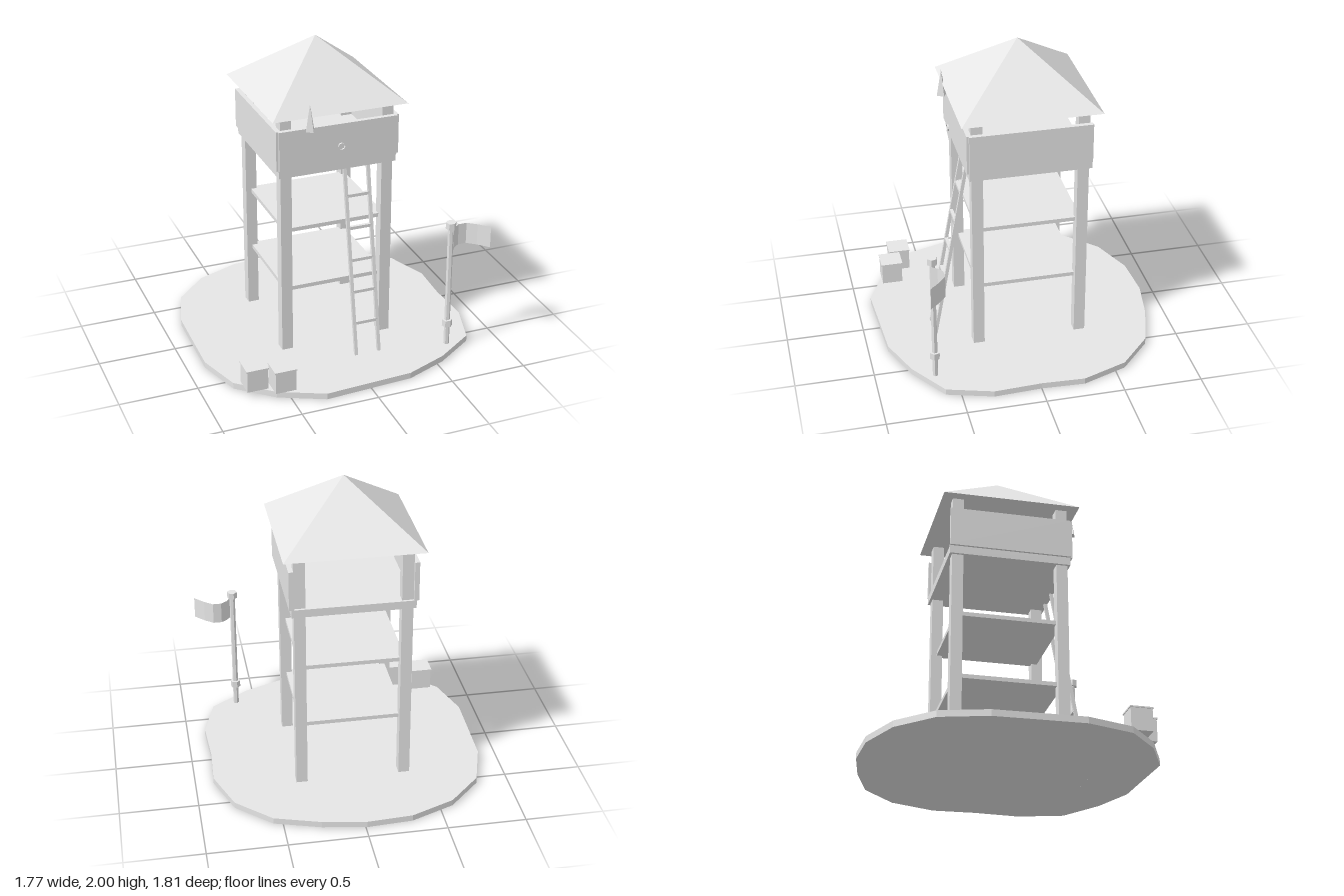
import * as THREE from 'three';

export function createModel() {
  const model = new THREE.Group();
  model.name = 'watchtower';
  const grey = new THREE.MeshStandardMaterial({ color: 0xe6e6e6 });
  grey.name = 'plain grey';
  const greySheet = new THREE.MeshStandardMaterial({ color: 0xe6e6e6, side: THREE.DoubleSide });
  greySheet.name = 'plain grey sheet';

  // Adds a faceted mesh
  function add(name, geometry, material = grey) {
    const flat = geometry.index ? geometry.toNonIndexed() : geometry;
    flat.computeVertexNormals();
    const mesh = new THREE.Mesh(flat, material);
    mesh.name = name;
    model.add(mesh);
    return mesh;
  }
  // Box given by its extents on each axis
  function box(name, x0, x1, y0, y1, z0, z1) {
    const g = new THREE.BoxGeometry(x1 - x0, y1 - y0, z1 - z0);
    g.translate((x0 + x1) / 2, (y0 + y1) / 2, (z0 + z1) / 2);
    return add(name, g);
  }
  // Upright six-sided prism between two heights
  function post(name, x, z, radius, y0, y1) {
    const g = new THREE.CylinderGeometry(radius, radius, y1 - y0, 6);
    g.rotateY(Math.PI / 12);
    g.translate(x, (y0 + y1) / 2, z);
    return add(name, g);
  }

  // Irregular ground slab, outline as x, z
  const outline = [
    [-0.3, -0.89], [-0.01, -0.907], [0.27, -0.86], [0.56, -0.77], [0.778, -0.565],
    [0.883, -0.275], [0.87, 0], [0.884, 0.305], [0.798, 0.595], [0.543, 0.767],
    [0.272, 0.875], [-0.015, 0.89], [-0.3, 0.906], [-0.58, 0.775], [-0.797, 0.583],
    [-0.888, 0.29], [-0.883, 0], [-0.878, -0.27], [-0.793, -0.563], [-0.583, -0.775],
  ];
  const shape = new THREE.Shape(outline.map(([x, z]) => new THREE.Vector2(x, -z)));
  const slab = new THREE.ExtrudeGeometry(shape, { depth: 0.04, bevelEnabled: false });
  slab.rotateX(-Math.PI / 2);
  add('ground', slab);

  // Four legs
  const cx = -0.01, cz = -0.0425, legOffset = 0.334;
  for (const sx of [-1, 1]) {
    for (const sz of [-1, 1]) {
      const x = cx + sx * legOffset, z = cz + sz * legOffset;
      box('leg', x - 0.036, x + 0.036, 0.04, 1.652, z - 0.036, z + 0.036);
    }
  }

  // Lower platforms, reaching the middle of each leg
  for (const y of [0.456, 0.868]) {
    box('platform', cx - legOffset, cx + legOffset, y - 0.013, y + 0.013, cz - legOffset, cz + legOffset);
  }

  // Lookout floor and walls, open at the back
  box('lookoutFloor', cx - 0.386, cx + 0.386, 1.253, 1.305, cz - 0.386, cz + 0.386);
  box('frontWall', cx - 0.386, cx + 0.386, 1.305, 1.562, cz + 0.37, cz + 0.4);
  for (const s of [-1, 1]) {
    const x = cx + s * 0.386;
    box('sideWall', x - 0.015, x + 0.015, 1.305, 1.562, cz - 0.386, cz + 0.386);
  }

  // Pyramid roof
  const roof = new THREE.ConeGeometry(0.438 * Math.SQRT2, 0.353, 4);
  roof.rotateY(Math.PI / 4);
  roof.translate(cx, 1.8235, cz);
  add('roof', roof);

  // Octagonal target with a small hub ring
  const disc = new THREE.CircleGeometry(0.087, 8);
  disc.translate(cx, 1.434, 0.395);
  add('targetDisc', disc, greySheet);
  const hub = new THREE.CylinderGeometry(0.022, 0.022, 0.018, 8, 1, true);
  hub.rotateX(Math.PI / 2);
  hub.translate(cx, 1.434, 0.396);
  add('targetHub', hub, greySheet);

  // Spike above the front wall
  const spike = new THREE.ConeGeometry(0.034, 0.174, 4);
  spike.rotateY(0.35);
  spike.translate(-0.214, 1.65, 0.398);
  add('spike', spike);

  // Leaning ladder with level rungs
  const railZ = (y) => 0.556 - 0.181 * y;
  const railX = [0.038, 0.194];
  for (const x of railX) {
    const rail = add('ladderRail', new THREE.BoxGeometry(0.021, 1.29, 0.021));
    rail.position.set(x, 0.636, railZ(0.636));
    rail.rotation.x = -Math.atan(0.181);
  }
  for (let i = 0; i < 5; i++) {
    const y = 0.249 + i * 0.2063, z = railZ(y);
    box('ladderRung', railX[0], railX[1], y - 0.01, y + 0.01, z - 0.01, z + 0.01);
  }

  // Flagpole with collar and cap
  post('flagpole', 0.634, 0.63, 0.0185, 0.04, 0.87);
  post('poleCollar', 0.634, 0.63, 0.033, 0.172, 0.217);
  post('poleCap', 0.634, 0.63, 0.033, 0.867, 0.91);

  // Waving flag, a sheet swept along x, z points
  const wave = [[0.648, 0.645], [0.675, 0.605], [0.715, 0.576], [0.77, 0.576], [0.825, 0.62], [0.886, 0.685]];
  const flag = new THREE.PlaneGeometry(1, 0.142, wave.length - 1, 1);
  const p = flag.attributes.position;
  for (let i = 0; i < p.count; i++) {
    const [x, z] = wave[i % wave.length];
    p.setXYZ(i, x, p.getY(i) + 0.785, z);
  }
  add('flag', flag, greySheet);

  // Two lidded crates
  for (const [x, z] of [[-0.682, 0.653], [-0.526, 0.729]]) {
    box('crate', x - 0.067, x + 0.067, 0.04, 0.18, z - 0.067, z + 0.067);
    box('crateLid', x - 0.072, x + 0.072, 0.18, 0.189, z - 0.072, z + 0.072);
  }
  return model;
}
